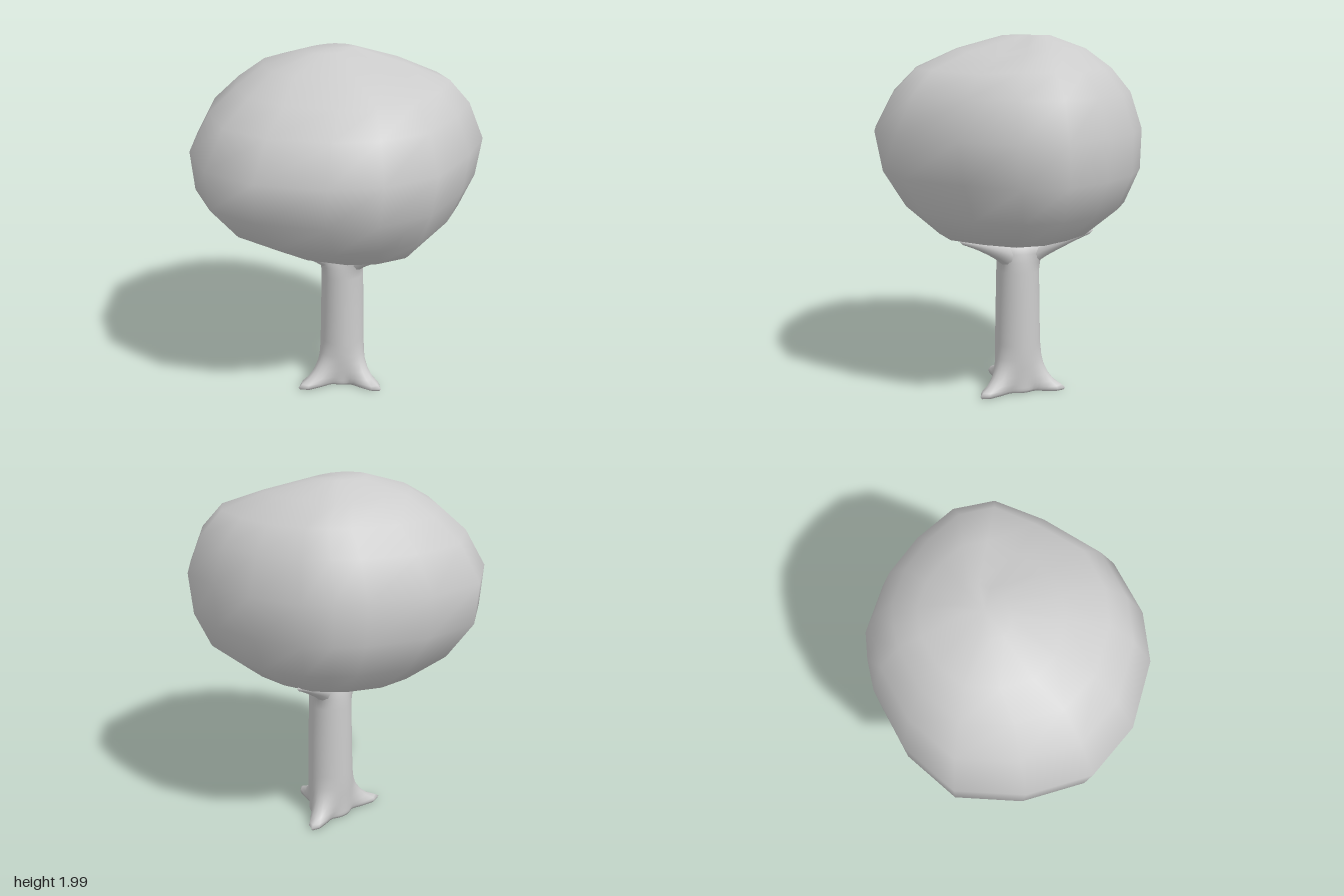
import * as THREE from 'three';
import { mergeVertices } from 'three/addons/utils/BufferGeometryUtils.js';

const grey = new THREE.MeshStandardMaterial({ color: 0xcccccc, side: THREE.DoubleSide });

// Weld shared corners so the whole skin is smooth
function smooth(geo) {
  geo.deleteAttribute('uv');
  geo.deleteAttribute('normal');
  const g = mergeVertices(geo, 1e-4);
  g.computeVertexNormals();
  return g;
}

// Skin over closed rings of [x, y, z], listed bottom to top, each turning from +x to +z
function loft(rings) {
  const n = rings[0].length, index = [];
  for (let i = 0; i < rings.length - 1; i++) {
    for (let j = 0; j < n; j++) {
      const a = i * n + j, b = i * n + (j + 1) % n, c = a + n, d = b + n;
      index.push(a, c, b, b, c, d);
    }
  }
  const geo = new THREE.BufferGeometry();
  geo.setAttribute('position', new THREE.Float32BufferAttribute(rings.flat(2), 3));
  geo.setIndex(index);
  return smooth(geo);
}

function addMesh(group, name, geo) {
  const mesh = new THREE.Mesh(geo, grey);
  mesh.name = name;
  group.add(mesh);
}

// Canopy: one plan outline, fitted to the extents of each level
function canopy() {
  const outline = [
    [0.74, 0.07], [0.63, 0.37], [0.45, 0.58], [0.12, 0.75], [-0.2, 0.77], [-0.5, 0.6], [-0.73, 0.33], [-0.745, -0.01],
    [-0.64, -0.34], [-0.55, -0.48], [-0.45, -0.6], [-0.2, -0.73], [0.07, -0.775], [0.35, -0.76], [0.56, -0.62], [0.67, -0.32],
  ];
  // y, min x, max x, min z, max z
  const levels = [
    [0.86, 0, 0, -0.05, -0.05],
    [0.88, -0.25, 0.22, -0.28, 0.16],
    [0.94, -0.46, 0.47, -0.5, 0.33],
    [1.09, -0.63, 0.61, -0.68, 0.58],
    [1.28, -0.735, 0.7, -0.76, 0.74],
    [1.5, -0.745, 0.74, -0.77, 0.77],
    [1.7, -0.66, 0.65, -0.705, 0.65],
    [1.83, -0.54, 0.54, -0.6, 0.5],
    [1.93, -0.42, 0.3, -0.42, 0.31],
    [2.0, -0.2, 0.02, -0.22, 0.08],
    [2.0, -0.09, -0.09, -0.07, -0.07],
  ];
  return loft(levels.map(([y, x0, x1, z0, z1]) => outline.map(([ox, oz]) => {
    const x = (x0 + x1) / 2 + ox / 0.743 * (x1 - x0) / 2;
    const z = (z0 + z1) / 2 + oz / 0.773 * (z1 - z0) / 2;
    // shallow dent on the upper left
    const dent = y > 1.8 ? 0.04 * Math.exp(-((x - 0.32) ** 2 + (z + 0.2) ** 2) / 0.03) : 0;
    return [x, y - dent, z];
  })));
}

// Trunk: round column that swells into three roots below and three forks above
const CX = -0.01, CZ = -0.087;
const rad = THREE.MathUtils.degToRad;
function trunk() {
  const roots = [[0, 0.3], [105, 0.315], [240, 0.28]];
  const forks = [0, 240, 117];
  const lobe = (a, b, w) => {
    const d = Math.atan2(Math.sin(a - b), Math.cos(a - b));
    return Math.exp(-((d / w) ** 2));
  };
  // y, radius, root reach (0 to 1), lobe width, fork swelling
  const levels = [
    [0.025, 0, 0, 0.3, 0],
    [0.005, 0.12, 0.97, 0.26, 0],
    [0.02, 0.125, 1, 0.27, 0],
    [0.035, 0.125, 0.88, 0.31, 0],
    [0.06, 0.125, 0.58, 0.38, 0],
    [0.1, 0.125, 0.34, 0.45, 0],
    [0.15, 0.127, 0.16, 0.5, 0],
    [0.2, 0.129, 0.06, 0.5, 0],
    [0.28, 0.129, 0, 0.5, 0],
    [0.5, 0.125, 0, 0.5, 0],
    [0.7, 0.121, 0, 0.5, 0],
    [0.76, 0.117, 0, 0.5, 0.012],
    [0.81, 0.11, 0, 0.5, 0.045],
    [0.85, 0.095, 0, 0.5, 0.08],
    [0.875, 0.06, 0, 0.5, 0.07],
    [0.875, 0, 0, 0.5, 0],
  ];
  return loft(levels.map(([y, r, reach, w, fork]) => Array.from({ length: 48 }, (_, j) => {
    const a = j / 48 * Math.PI * 2;
    let s = r;
    for (const [deg, len] of roots) s += (len - 0.125) * reach * lobe(a, rad(deg), w);
    for (const deg of forks) s += fork * lobe(a, rad(deg), 0.5);
    return [CX + s * Math.cos(a), y, CZ + s * Math.sin(a)];
  })));
}

// Branch: tapered tube that leaves the trunk and rises to a blunt tip
function branch(tip) {
  const at = (t, y) => new THREE.Vector3(CX + (tip[0] - CX) * t, y, CZ + (tip[2] - CZ) * t);
  const curve = new THREE.CatmullRomCurve3([at(0.06, 0.76), at(0.25, 0.815), at(0.6, 0.88), at(1, tip[1])]);
  const steps = 16, sides = 12;
  const geo = new THREE.TubeGeometry(curve, steps, 1, sides);
  const pos = geo.attributes.position, v = new THREE.Vector3();
  for (let i = 0; i <= steps; i++) {
    const t = i / steps, centre = curve.getPointAt(t);
    const r = i === steps ? 0 : 0.012 + 0.063 * (1 - t) ** 1.3;
    for (let j = 0; j <= sides; j++) {
      const k = i * (sides + 1) + j;
      v.fromBufferAttribute(pos, k).sub(centre).multiplyScalar(r).add(centre);
      pos.setXYZ(k, v.x, v.y, v.z);
    }
  }
  return smooth(geo);
}

export function createModel() {
  const tree = new THREE.Group();
  tree.name = 'tree';
  addMesh(tree, 'canopy', canopy());
  addMesh(tree, 'trunk', trunk());
  addMesh(tree, 'leftBranch', branch([0.46, 0.94, -0.11]));
  addMesh(tree, 'backBranch', branch([-0.22, 0.95, -0.46]));
  addMesh(tree, 'frontBranch', branch([-0.21, 0.95, 0.29]));
  return tree;
}
